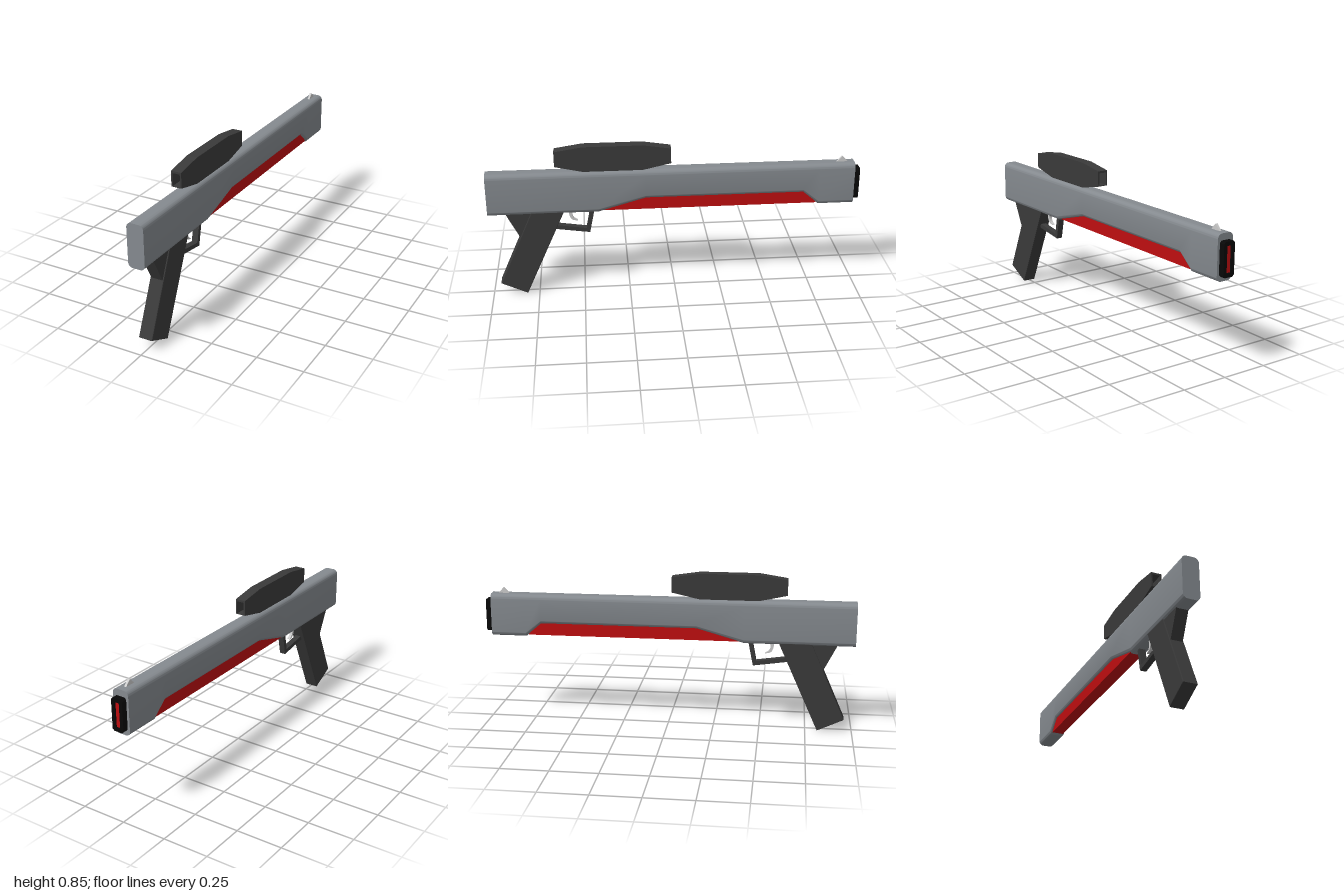
import * as THREE from 'three';
import { toCreasedNormals } from 'three/addons/utils/BufferGeometryUtils.js';

const paint = (color) => new THREE.MeshStandardMaterial({ color });
const bodyGrey = paint(0x858a8f);
const darkGrey = paint(0x3a3a3a);
const black = paint(0x080808);
const red = paint(0xbe0e10);
const lightGrey = paint(0xcccccc);

const polygon = (points) => new THREE.Shape(points.map(([a, b]) => new THREE.Vector2(a, b)));

// Side profile in (z, y), extruded across x and centred at the given x
function sidePart(name, points, halfWidth, material, { bevel = 0, x = 0 } = {}) {
  const depth = 2 * (halfWidth - bevel);
  const geometry = new THREE.ExtrudeGeometry(polygon(points), {
    depth, bevelEnabled: bevel > 0, bevelSize: bevel, bevelThickness: bevel,
    bevelOffset: -bevel, bevelSegments: 2,
  });
  geometry.translate(0, 0, -depth / 2).rotateY(-Math.PI / 2).translate(x, 0, 0);
  const mesh = new THREE.Mesh(geometry, material);
  mesh.name = name;
  return mesh;
}

function roundedRect(w, y0, y1, r) {
  const s = new THREE.Shape();
  s.moveTo(-w + r, y0).lineTo(w - r, y0);
  s.absarc(w - r, y0 + r, r, -Math.PI / 2, 0);
  s.absarc(w - r, y1 - r, r, 0, Math.PI / 2);
  s.absarc(-w + r, y1 - r, r, Math.PI / 2, Math.PI);
  s.absarc(-w + r, y0 + r, r, Math.PI, Math.PI * 1.5);
  return s;
}

// Rounded bar whose underside is raised between the stations [z, rise]
function createBody() {
  const stations = [[-0.97, 0], [-0.78, 0], [-0.695, 0.072], [0.155, 0.072], [0.41, 0], [1, 0]];
  const steps = stations.length - 1;
  const geometry = new THREE.ExtrudeGeometry(roundedRect(0.046, 0.48, 0.714, 0.026), {
    depth: steps, steps, bevelEnabled: false, curveSegments: 6,
  });
  const p = geometry.attributes.position;
  for (let i = 0; i < p.count; i++) {
    const [z, rise] = stations[Math.round(p.getZ(i))];
    if (p.getY(i) < 0.6) p.setY(i, p.getY(i) + rise);
    p.setZ(i, z);
  }
  const mesh = new THREE.Mesh(toCreasedNormals(geometry, 0.5), bodyGrey);
  mesh.name = 'body';
  return mesh;
}

// Hollow sight: two side plates joined by a roof and a floor
function createScope() {
  const scope = new THREE.Group();
  scope.name = 'scope';
  const outline = [
    [0.02, 0.747], [0.17, 0.714], [0.485, 0.714], [0.635, 0.747],
    [0.635, 0.83], [0.485, 0.853], [0.17, 0.853], [0.02, 0.83],
  ];
  for (const side of [-1, 1]) {
    scope.add(sidePart('scopeSide', outline, 0.004, darkGrey, { x: side * 0.0245 }));
  }
  scope.add(sidePart('scopeRoof',
    [[0.02, 0.819], [0.635, 0.819], [0.635, 0.83], [0.485, 0.853], [0.17, 0.853], [0.02, 0.83]], 0.0206, darkGrey));
  scope.add(sidePart('scopeFloor',
    [[0.02, 0.747], [0.17, 0.714], [0.485, 0.714], [0.635, 0.747], [0.635, 0.751], [0.02, 0.751]], 0.0206, darkGrey));
  return scope;
}

// Chamfered black frame around a recessed red panel
function createMuzzle() {
  const muzzle = new THREE.Group();
  muzzle.name = 'muzzle';
  const [w, y0, y1, c] = [0.033, 0.505, 0.68, 0.01];
  const frame = polygon([
    [-w + c, y0], [w - c, y0], [w, y0 + c], [w, y1 - c],
    [w - c, y1], [-w + c, y1], [-w, y1 - c], [-w, y0 + c],
  ]);
  frame.holes.push(polygon([[-0.013, 0.526], [-0.013, 0.659], [0.013, 0.659], [0.013, 0.526]]));
  const rim = new THREE.Mesh(new THREE.ExtrudeGeometry(frame, { depth: 0.04, bevelEnabled: false }), black);
  rim.name = 'muzzleFrame';
  rim.position.z = -1;
  const panel = new THREE.Mesh(new THREE.BoxGeometry(0.028, 0.135, 0.02), red);
  panel.name = 'muzzlePanel';
  panel.position.set(0, 0.5925, -0.983);
  muzzle.add(rim, panel);
  return muzzle;
}

export function createModel() {
  const model = new THREE.Group();
  model.name = 'rifle';
  model.add(createBody(), createScope(), createMuzzle());

  // Red strip under the barrel, its top buried in the body
  model.add(sidePart('underStrip',
    [[0.395, 0.49], [0.155, 0.575], [-0.695, 0.575], [-0.768, 0.49]].reverse(), 0.034, red));

  // Slanted grip with the wedge behind it
  model.add(sidePart('grip',
    [[0.957, 0.07], [0.77, 0.49], [0.595, 0.49], [0.815, 0.003]].reverse(), 0.038, darkGrey, { bevel: 0.004 }));
  model.add(sidePart('gripWedge',
    [[0.908, 0.49], [0.834, 0.342], [0.72, 0.342], [0.72, 0.49]], 0.032, darkGrey));

  // Trigger and its guard
  model.add(sidePart('triggerGuard', [
    [0.433, 0.485], [0.46, 0.354], [0.66, 0.383], [0.65, 0.405],
    [0.477, 0.379], [0.456, 0.485],
  ], 0.017, darkGrey));
  const blade = new THREE.CatmullRomCurve3([
    [0.57, 0.49], [0.568, 0.455], [0.555, 0.43], [0.524, 0.421],
  ].map(([z, y]) => new THREE.Vector3(0, y, z))).getPoints(10);
  const inner = new THREE.CatmullRomCurve3([
    [0.545, 0.49], [0.552, 0.46], [0.545, 0.438], [0.524, 0.424],
  ].map(([z, y]) => new THREE.Vector3(0, y, z))).getPoints(10).reverse();
  model.add(sidePart('trigger', [...blade, ...inner].map((v) => [v.z, v.y]), 0.008, lightGrey));

  // Small triangular sight near the muzzle
  model.add(sidePart('frontSight', [[-0.872, 0.71], [-0.905, 0.744], [-0.938, 0.71]], 0.006, lightGrey));
  return model;
}
